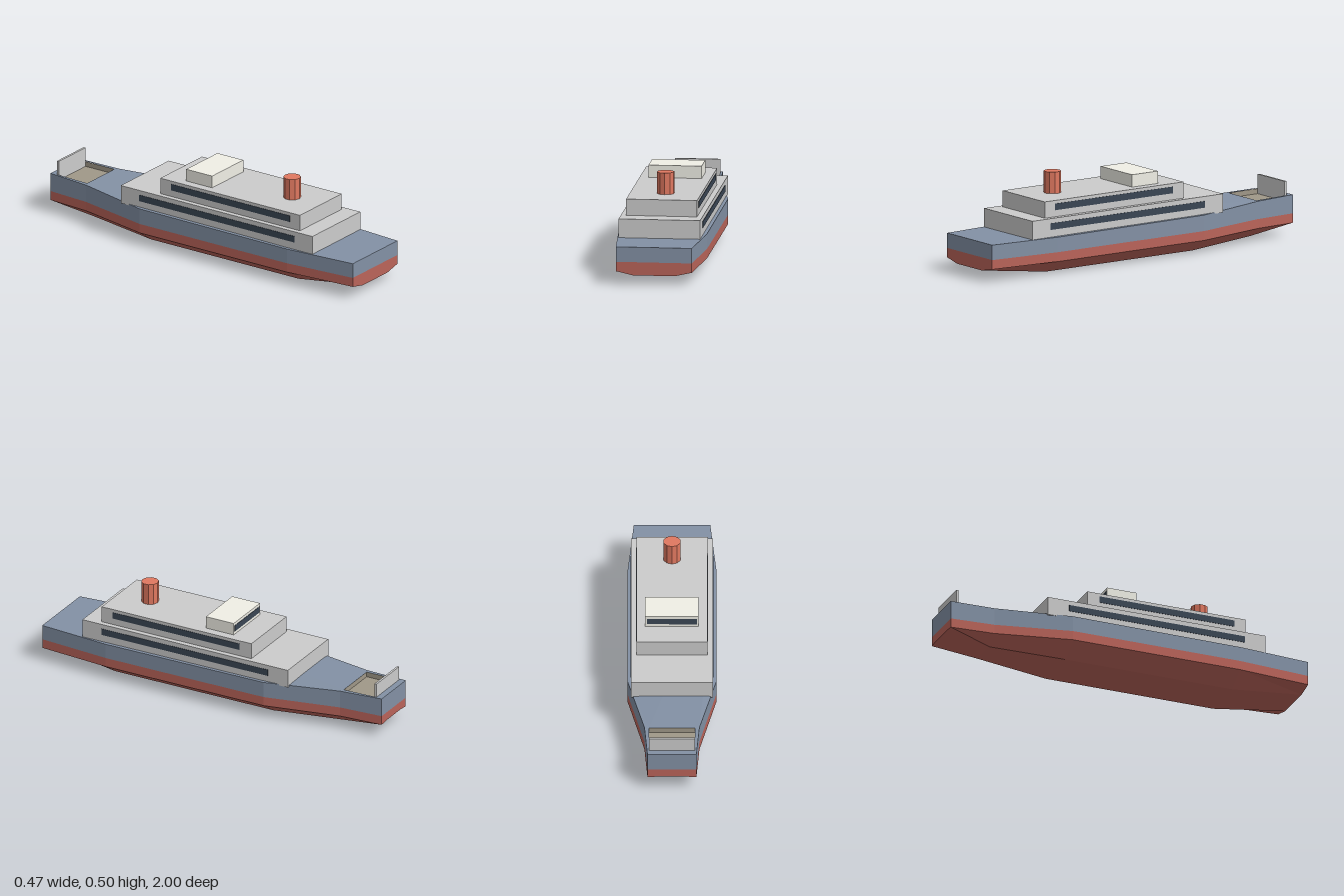
import * as THREE from 'three';

const paint = (color) => new THREE.MeshStandardMaterial({ color, flatShading: true });

// Hull stations, stern to bow: z, half beam, deck height, keel half width, keel height
const stations = [
  [1, 0.2, 0.2, 0.11, 0.05],
  [0.6, 0.233, 0.2, 0.13, 0],
  [-0.35, 0.233, 0.205, 0.13, 0],
  [-0.76, 0.144, 0.215, 0.08, 0.02],
  [-1, 0.128, 0.22, 0.07, 0.075],
];
const WATERLINE = 0.12;
const CHINE = 0.07;
const well = { x: 0.12, z0: -0.965, z1: -0.77, floor: 0.19 };

// Deck height at any z
function sheer(z) {
  for (let i = 0; i < stations.length - 1; i++) {
    const [za, , ya] = stations[i];
    const [zb, , yb] = stations[i + 1];
    if (z >= zb) return ya + (yb - ya) * (za - z) / (za - zb);
  }
  return 0.22;
}

// Skin a half section along the stations, mirror it and close both ends
function loftHull(halfSection) {
  const pos = [];
  const tri = (a, b, c) => {
    pos.push(...a, ...b, ...c);
    for (const p of [a, c, b]) pos.push(-p[0], p[1], p[2]);
  };
  const rows = stations.map((s) => halfSection(s).map(([x, y]) => [x, y, s[0]]));
  for (let i = 0; i < rows.length - 1; i++) {
    const a = rows[i], b = rows[i + 1];
    for (let j = 0; j < a.length - 1; j++) {
      tri(a[j], a[j + 1], b[j]);
      tri(b[j], a[j + 1], b[j + 1]);
    }
  }
  const cap = (row, stern) => {
    const z = row[0][2];
    const start = [0, row[0][1], z];
    const ring = [...row, [0, row[row.length - 1][1], z]];
    for (let k = 0; k < ring.length - 1; k++) {
      if (stern) tri(start, ring[k + 1], ring[k]);
      else tri(start, ring[k], ring[k + 1]);
    }
  };
  cap(rows[0], true);
  cap(rows[rows.length - 1], false);
  const geo = new THREE.BufferGeometry();
  geo.setAttribute('position', new THREE.Float32BufferAttribute(pos, 3));
  geo.computeVertexNormals();
  return geo;
}

// Deck outline with the bow well cut out, lifted to the sheer line
function deckGeometry() {
  const right = stations.map(([z, w]) => new THREE.Vector2(w, -z));
  const left = stations.map(([z, w]) => new THREE.Vector2(-w, -z)).reverse();
  const shape = new THREE.Shape([...right, ...left]);
  shape.holes.push(new THREE.Path([
    new THREE.Vector2(-well.x, -well.z0), new THREE.Vector2(well.x, -well.z0),
    new THREE.Vector2(well.x, -well.z1), new THREE.Vector2(-well.x, -well.z1),
  ]));
  const geo = new THREE.ShapeGeometry(shape).rotateX(-Math.PI / 2);
  const p = geo.attributes.position;
  for (let i = 0; i < p.count; i++) p.setY(i, sheer(p.getZ(i)));
  geo.computeVertexNormals();
  return geo;
}

export function createModel() {
  const model = new THREE.Group();
  model.name = 'ship';
  const blue = paint(0x8391a5);
  const red = paint(0xba645a);
  const grey = paint(0xcccccc);
  const cream = paint(0xf0efe6);
  const glass = paint(0x3a4654);
  const sand = paint(0xa09888);
  const orange = paint(0xe07860);

  const add = (name, geo, mat, x = 0, y = 0, z = 0, parent = model) => {
    const mesh = new THREE.Mesh(geo, mat);
    mesh.name = name;
    mesh.position.set(x, y, z);
    parent.add(mesh);
    return mesh;
  };
  // Box from half width and y, z ranges
  const block = (name, mat, hx, y0, y1, z0, z1, x = 0) =>
    add(name, new THREE.BoxGeometry(2 * hx, y1 - y0, z1 - z0), mat, x, (y0 + y1) / 2, (z0 + z1) / 2);

  // Hull
  add('upperHull', loftHull(([, w, top]) => [[w, top], [w, WATERLINE]]), blue);
  add('lowerHull', loftHull(([, w, , kw, ky]) =>
    [[w, WATERLINE], [w, CHINE], [kw, ky], [0, ky]]), red);
  add('deck', deckGeometry(), blue);

  // Bow well: floor and four inner walls
  const bowWell = new THREE.Group();
  bowWell.name = 'bowWell';
  model.add(bowWell);
  const length = well.z1 - well.z0;
  const depth = 0.217 - well.floor;
  const midZ = (well.z0 + well.z1) / 2;
  add('wellFloor', new THREE.PlaneGeometry(2 * well.x, length).rotateX(-Math.PI / 2),
    sand, 0, well.floor, midZ, bowWell);
  for (let i = 0; i < 4; i++) {
    const side = i % 2 === 1;
    const angle = i * Math.PI / 2;
    const reach = side ? well.x : length / 2;
    add('wellWall', new THREE.PlaneGeometry(side ? length : 2 * well.x, depth).rotateY(angle), sand,
      -Math.sin(angle) * reach, well.floor + depth / 2, midZ - Math.cos(angle) * reach, bowWell);
  }
  block('bowGate', grey, well.x, well.floor, 0.295, well.z0, -0.953);

  // Superstructure
  block('lowerCabin', grey, 0.215, 0.2, 0.3, -0.485, 0.75);
  block('upperCabin', grey, 0.187, 0.3, 0.387, -0.25, 0.65);
  block('bridge', cream, 0.14, 0.387, 0.453, -0.117, 0.05);

  // Window bands
  for (const s of [-1, 1]) {
    block('lowerWindows', glass, 0.002, 0.24, 0.275, -0.365, 0.635, s * 0.215);
    block('upperWindows', glass, 0.002, 0.335, 0.37, -0.18, 0.585, s * 0.187);
  }
  block('bridgeWindow', glass, 0.13, 0.403, 0.437, -0.119, -0.115);

  // Funnel
  add('funnel', new THREE.CylinderGeometry(0.046, 0.046, 0.115, 10), orange, 0, 0.4445, 0.465);

  return model;
}
